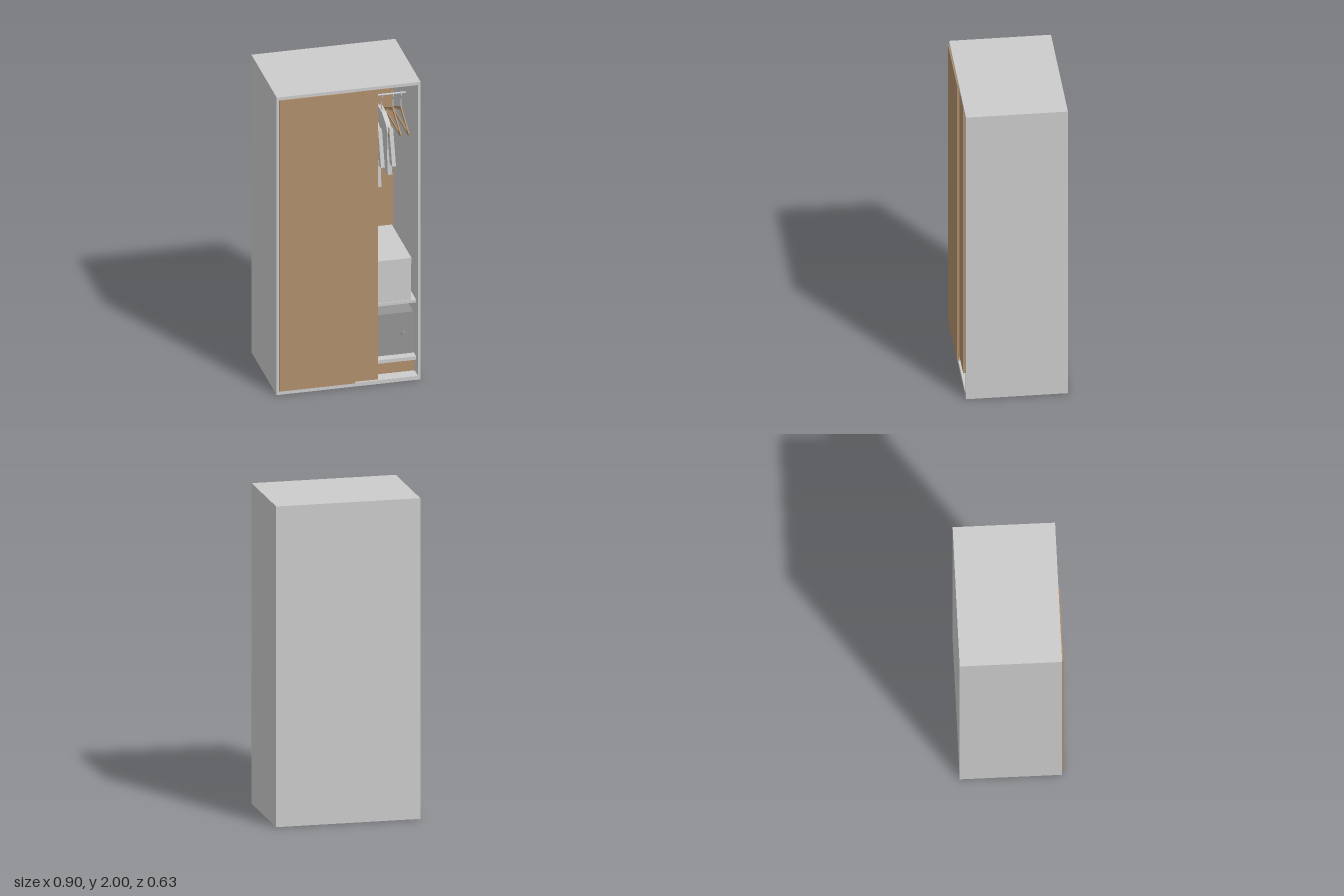
import * as THREE from 'three';

const mat = (color) => new THREE.MeshStandardMaterial({ color, side: THREE.DoubleSide });
const GREY = mat(0xcccccc);
const WOOD = mat(0xaf8f6c);
const LIGHT = mat(0xd0d0d0);
const DARK = mat(0x949494);

// Box given by its min and max corners
function block(parent, name, material, x0, x1, y0, y1, z0, z1) {
  const mesh = new THREE.Mesh(new THREE.BoxGeometry(x1 - x0, y1 - y0, z1 - z0), material);
  mesh.position.set((x0 + x1) / 2, (y0 + y1) / 2, (z0 + z1) / 2);
  mesh.name = name;
  parent.add(mesh);
  return mesh;
}

// Symmetric outline from its right half, extruded and turned into the z-y plane
function slab(half, thickness) {
  const mirrored = half.map(([a, b]) => [-a, b]).reverse();
  const shape = new THREE.Shape([...half, ...mirrored].map(([a, b]) => new THREE.Vector2(a, b)));
  const geo = new THREE.ExtrudeGeometry(shape, { depth: thickness, bevelEnabled: false });
  geo.translate(0, 0, -thickness / 2);
  geo.rotateY(Math.PI / 2);
  return geo;
}

function makeHanger() {
  const hanger = new THREE.Group();
  hanger.name = 'hanger';
  // Triangular arms, open in the middle
  const tri = (s, lo, hi) => [[-s, lo], [s, lo], [s, lo + 0.018], [0, hi], [-s, lo + 0.018]]
    .map(([a, b]) => new THREE.Vector2(a, b));
  const shape = new THREE.Shape(tri(0.2, -0.2, -0.09));
  shape.holes.push(new THREE.Path(tri(0.15, -0.188, -0.115)));
  const geo = new THREE.ExtrudeGeometry(shape, { depth: 0.008, bevelEnabled: false });
  geo.translate(0, 0, -0.004);
  geo.rotateY(Math.PI / 2);
  const arms = new THREE.Mesh(geo, WOOD);
  arms.name = 'hangerArms';
  // Hook over the rail
  const path = new THREE.CatmullRomCurve3([[-0.095, 0], [-0.035, 0], [-0.018, 0.012], [0, 0.014], [0.01, 0.012], [-0.004, -0.014]]
    .map(([y, z]) => new THREE.Vector3(0, y, z)));
  path.points[4].set(0, 0.01, 0);
  path.points[5].set(0, -0.004, -0.013);
  const hook = new THREE.Mesh(new THREE.TubeGeometry(path, 16, 0.003, 6), GREY);
  hook.name = 'hangerHook';
  hanger.add(arms, hook);
  return hanger;
}

function makeShirt(length) {
  const shirt = new THREE.Group();
  shirt.name = 'shirt';
  const body = new THREE.Mesh(slab([[0.15, -length], [0.145, -0.3], [0.17, -0.17], [0.14, -0.13], [0.05, -0.095]], 0.028), GREY);
  body.name = 'shirtBody';
  shirt.add(body);
  // Hanging sleeves
  for (const side of [-1, 1]) {
    const sleeve = new THREE.Mesh(new THREE.BoxGeometry(0.024, 0.24, 0.06), GREY);
    sleeve.name = 'shirtSleeve';
    sleeve.position.set(0.005, -0.26, side * 0.19);
    sleeve.rotation.x = -side * 0.18;
    shirt.add(sleeve);
  }
  shirt.rotation.z = 0.03;
  return shirt;
}

export function createModel() {
  const model = new THREE.Group();
  model.name = 'wardrobe';

  // Carcass
  for (const s of [-1, 1]) {
    block(model, 'sidePanel', GREY, Math.min(s * 0.45, s * 0.434), Math.max(s * 0.45, s * 0.434), 0, 2, -0.315, 0.307);
  }
  block(model, 'topPanel', GREY, -0.434, 0.434, 1.98, 2, -0.315, 0.307);
  block(model, 'bottomPanel', GREY, -0.434, 0.434, 0, 0.025, -0.315, 0.307);
  block(model, 'backPanel', GREY, -0.434, 0.434, 0.025, 1.98, -0.315, -0.305);
  block(model, 'backLining', WOOD, -0.434, 0.434, 0.025, 1.98, -0.305, -0.295);

  // Sliding doors, both to the right of the wearer
  block(model, 'frontDoor', WOOD, -0.435, 0.038, 0.025, 1.98, 0.3, 0.315);
  block(model, 'rearDoor', WOOD, -0.285, 0.188, 0.025, 1.98, 0.279, 0.294);

  // Shelves and plinth
  block(model, 'plinth', WOOD, -0.434, 0.434, 0.025, 0.112, 0.21, 0.225);
  block(model, 'lowerShelf', GREY, -0.434, 0.434, 0.112, 0.135, -0.295, 0.26);
  block(model, 'middleShelf', GREY, -0.434, 0.434, 0.497, 0.517, -0.295, 0.26);

  // Pairs of storage boxes and chests
  for (const x of [-0.39, 0.012]) {
    block(model, 'storageBox', LIGHT, x + 0.003, x + 0.39, 0.517, 0.762, -0.22, 0.255);
    block(model, 'storageBoxLid', LIGHT, x, x + 0.393, 0.762, 0.8, -0.223, 0.26);
  }
  for (const x of [-0.43, 0.005]) {
    block(model, 'chest', DARK, x, x + 0.425, 0.135, 0.412, -0.25, 0.205);
    const knob = new THREE.Mesh(new THREE.CylinderGeometry(0.018, 0.018, 0.018, 16), DARK);
    knob.name = 'chestKnob';
    knob.rotation.x = Math.PI / 2;
    knob.position.set(x + 0.365, 0.27, 0.213);
    model.add(knob);
  }

  // Clothes rail
  const rail = new THREE.Mesh(new THREE.CylinderGeometry(0.006, 0.006, 0.868, 12), GREY);
  rail.name = 'clothesRail';
  rail.rotation.z = Math.PI / 2;
  rail.position.set(0, 1.79, 0);
  model.add(rail);

  // Hangers along the rail; the two nearest the side are empty
  const xs = [-0.3, -0.18, -0.06, 0.06, 0.14, 0.215, 0.285, 0.355, 0.405];
  xs.forEach((x, i) => {
    const hanger = makeHanger();
    hanger.position.set(x, 1.79, 0);
    if (i < 7) hanger.add(makeShirt(i % 2 ? 0.545 : 0.47));
    model.add(hanger);
  });

  return model;
}
